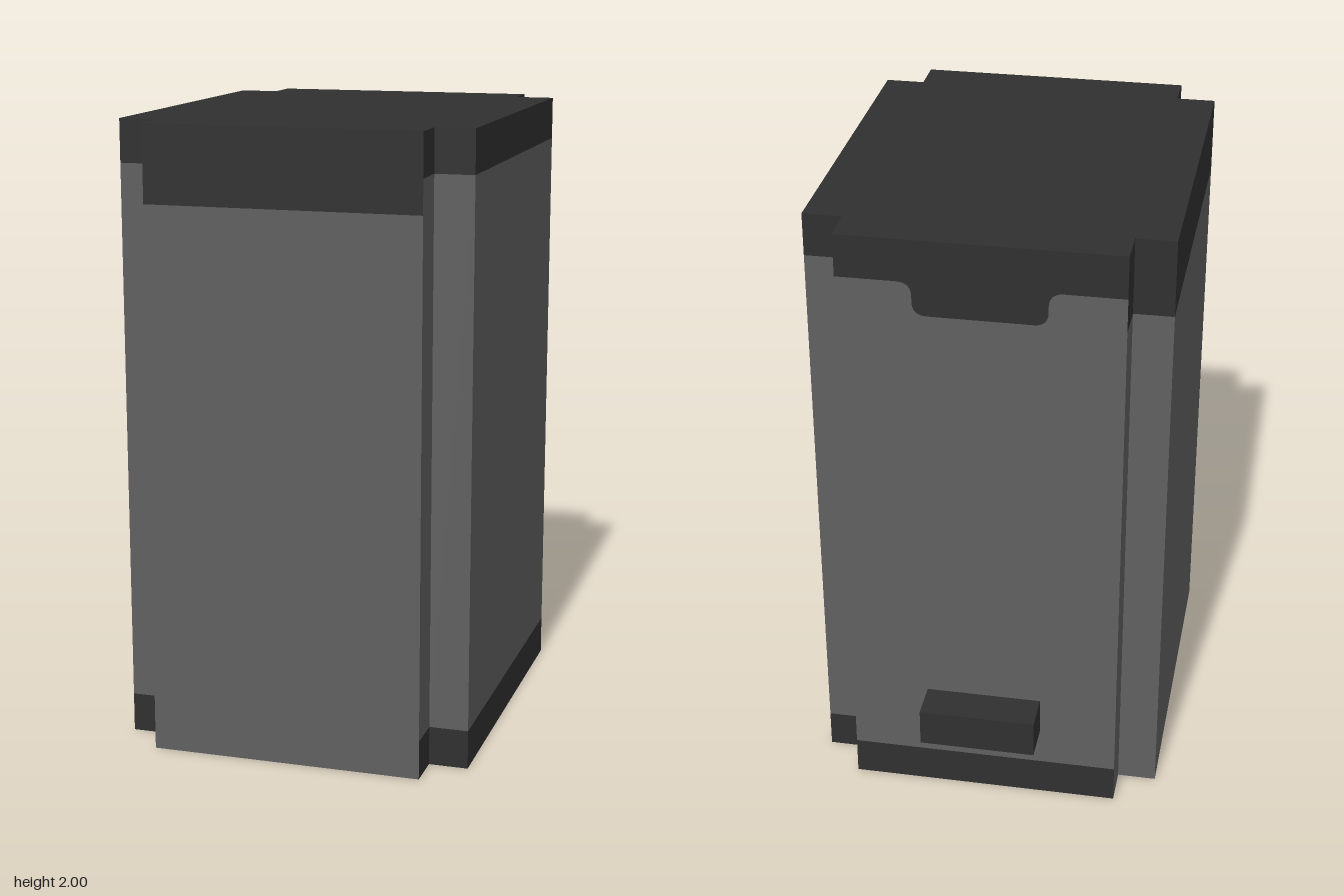
import * as THREE from 'three';

const H = 2;          // total height
const BASE = 0.125;   // lower band height
const CAP = 1.863;    // shallow upper band starts here
const DEEP = 1.755;   // deep upper band and clasp start here

// Plan of the body with notched corners, as [x, z]; each wall runs to the next point.
const plan = [
  [-0.4375, 0.75], [0.4375, 0.75], [0.4375, 0.625], [0.5625, 0.625],
  [0.5625, -0.5], [0.4375, -0.5], [0.4375, -0.625], [-0.4375, -0.625],
  [-0.4375, -0.5], [-0.5625, -0.5], [-0.5625, 0.625], [-0.4375, 0.625],
];
const names = [
  'frontWall', 'frontLeftNotchSide', 'frontLeftShoulder', 'leftWall',
  'backLeftShoulder', 'backLeftNotchSide', 'backWall', 'backRightNotchSide',
  'backRightShoulder', 'rightWall', 'frontRightShoulder', 'frontRightNotchSide',
];
const deepWalls = new Set([0, 7, 8, 9]); // deep upper band, no lower band
const claspWall = 6;

// Boundary between shell and cap across a wall, dipping into a rounded clasp.
function boundary(w, y, clasp) {
  const path = new THREE.Path();
  path.moveTo(-w / 2, y);
  if (clasp) {
    const c = 0.205, r = 0.045;
    path.lineTo(-c - r, y);
    path.quadraticCurveTo(-c, y, -c, y - r);
    path.lineTo(-c, DEEP + r);
    path.quadraticCurveTo(-c, DEEP, -c + r, DEEP);
    path.lineTo(c - r, DEEP);
    path.quadraticCurveTo(c, DEEP, c, DEEP + r);
    path.lineTo(c, y - r);
    path.quadraticCurveTo(c, y, c + r, y);
  }
  path.lineTo(w / 2, y);
  return path.getPoints(6);
}

// Flat panel between a boundary line and a straight edge at height y.
function panel(name, line, y, material) {
  const first = line[0], last = line[line.length - 1];
  const shape = new THREE.Shape([
    ...line, new THREE.Vector2(last.x, y), new THREE.Vector2(first.x, y),
  ]);
  const mesh = new THREE.Mesh(new THREE.ShapeGeometry(shape), material);
  mesh.name = name;
  return mesh;
}

export function createModel() {
  const model = new THREE.Group();
  model.name = 'notchedCase';
  const shellGrey = new THREE.MeshStandardMaterial({ color: 0x606060 });
  shellGrey.name = 'shellGrey';
  const trimDark = new THREE.MeshStandardMaterial({ color: 0x303030 });
  trimDark.name = 'trimDark';

  // Walls, each split into cap band, shell and base band
  plan.forEach(([x0, z0], i) => {
    const [x1, z1] = plan[(i + 1) % plan.length];
    const w = Math.hypot(x1 - x0, z1 - z0);
    const deep = deepWalls.has(i);
    const line = boundary(w, deep ? DEEP : CAP, i === claspWall);
    const foot = deep ? 0 : BASE;
    const wall = new THREE.Group();
    wall.name = names[i];
    wall.add(panel('capBand', line, H, trimDark), panel('shellPanel', line, foot, shellGrey));
    if (!deep) wall.add(panel('baseBand', boundary(w, BASE, false), 0, trimDark));
    wall.position.set((x0 + x1) / 2, 0, (z0 + z1) / 2);
    wall.rotation.y = Math.atan2(z0 - z1, x1 - x0);
    model.add(wall);
  });

  // Lid and underside
  for (const [name, y, s] of [['lid', H, -1], ['underside', 0, 1]]) {
    const shape = new THREE.Shape(plan.map(([x, z]) => new THREE.Vector2(x, s * z)));
    const mesh = new THREE.Mesh(new THREE.ShapeGeometry(shape), trimDark);
    mesh.name = name;
    mesh.rotation.x = s * Math.PI / 2;
    mesh.position.y = y;
    model.add(mesh);
  }

  // Block on the lower back
  const block = new THREE.Mesh(new THREE.BoxGeometry(0.375, 0.125, 0.125), trimDark);
  block.name = 'backBlock';
  block.position.set(0, 0.3125, -0.6875);
  model.add(block);

  return model;
}
